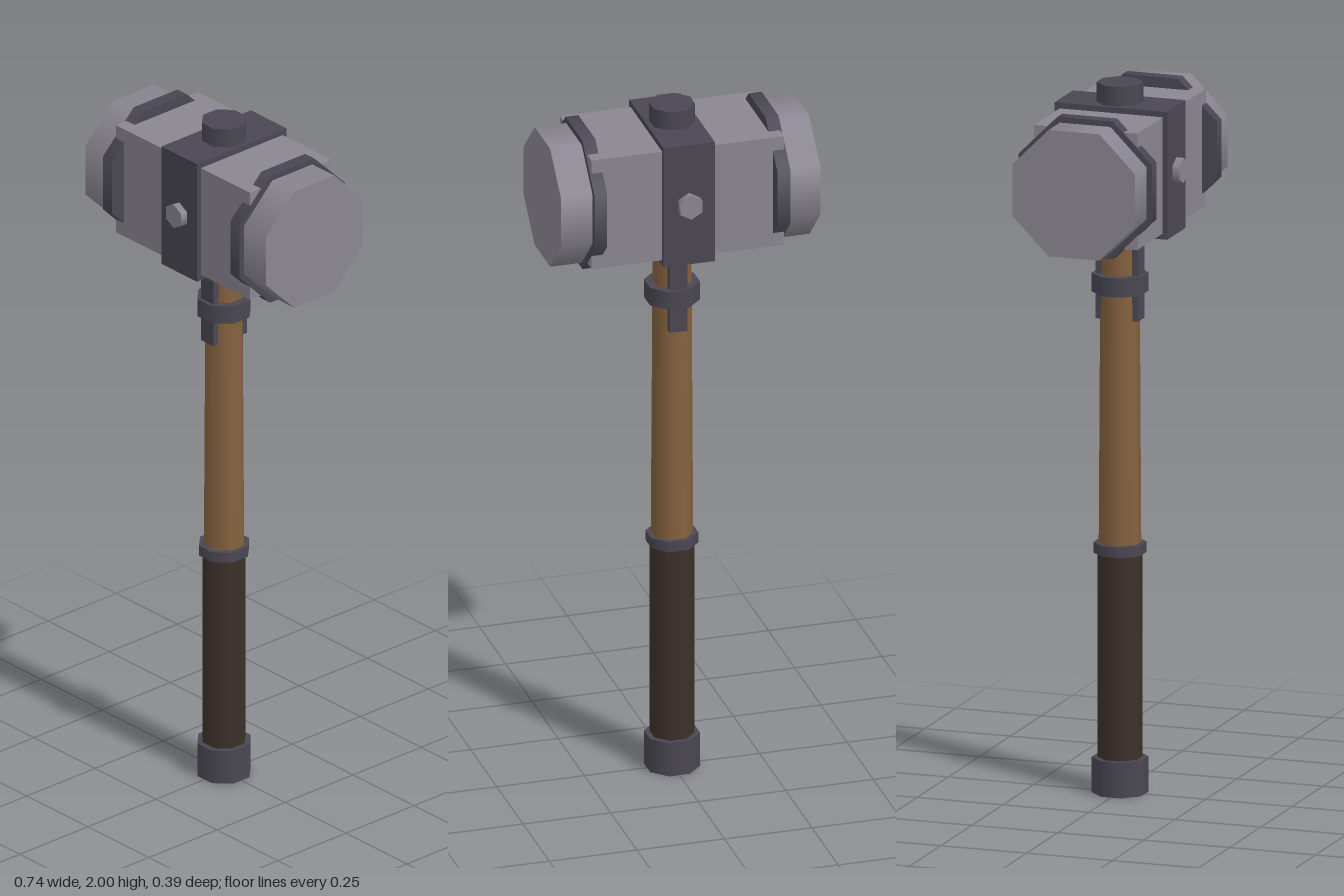
import * as THREE from 'three';

const steel = new THREE.MeshStandardMaterial({ color: 0x8a8691 });
const iron = new THREE.MeshStandardMaterial({ color: 0x4a4752 });
const wood = new THREE.MeshStandardMaterial({ color: 0x86623f });
const leather = new THREE.MeshStandardMaterial({ color: 0x3d312a });

const HEAD_Y = 1.765;

export function createModel() {
  const model = new THREE.Group();
  model.name = 'warHammer';

  const add = (parent, name, geometry, material, x = 0, y = 0, z = 0) => {
    const mesh = new THREE.Mesh(geometry, material);
    mesh.name = name;
    mesh.position.set(x, y, z);
    parent.add(mesh);
    return mesh;
  };

  // Octagonal prism with flats facing the axes, sized by half its width across flats
  const octagon = (halfTop, halfBottom, height) => {
    const k = 1 / Math.cos(Math.PI / 8);
    return new THREE.CylinderGeometry(halfTop * k, halfBottom * k, height, 8).rotateY(Math.PI / 8);
  };
  const upright = (name, y0, y1, halfBottom, halfTop, material) =>
    add(model, name, octagon(halfTop, halfBottom, y1 - y0), material, 0, (y0 + y1) / 2, 0);

  // Handle, from the pommel up
  upright('pommel', 0, 0.1, 0.0715, 0.0715, iron);
  upright('grip', 0.09, 0.69, 0.057, 0.057, leather);
  upright('gripRing', 0.675, 0.705, 0.067, 0.067, iron);
  upright('shaft', 0.68, 1.62, 0.054, 0.049, wood);
  upright('neckRing', 1.41, 1.463, 0.0715, 0.0715, iron);
  upright('topCap', 1.93, 2.0, 0.059, 0.059, iron);

  // Straps running down the front and back of the shaft
  for (const s of [1, -1]) {
    add(model, 'strap', new THREE.BoxGeometry(0.052, 0.275, 0.022), iron, 0, 1.4725, s * 0.051);
  }

  // Hammer head
  const head = new THREE.Group();
  head.name = 'head';
  head.position.y = HEAD_Y;
  model.add(head);
  add(head, 'headBlock', new THREE.BoxGeometry(0.55, 0.328, 0.3), steel);
  add(head, 'centreBand', new THREE.BoxGeometry(0.146, 0.36, 0.328), iron);

  // Hexagonal pin through the band
  add(head, 'pin', new THREE.CylinderGeometry(0.036, 0.036, 0.37, 6).rotateX(Math.PI / 2), steel);

  // Collar and striking face on each end
  for (const s of [1, -1]) {
    add(head, 'collar', octagon(0.194, 0.194, 0.037).rotateZ(Math.PI / 2), iron, s * 0.2615);
    add(head, 'strikingFace', octagon(0.178, 0.178, 0.11).rotateZ(Math.PI / 2), steel, s * 0.315);
  }

  return model;
}
